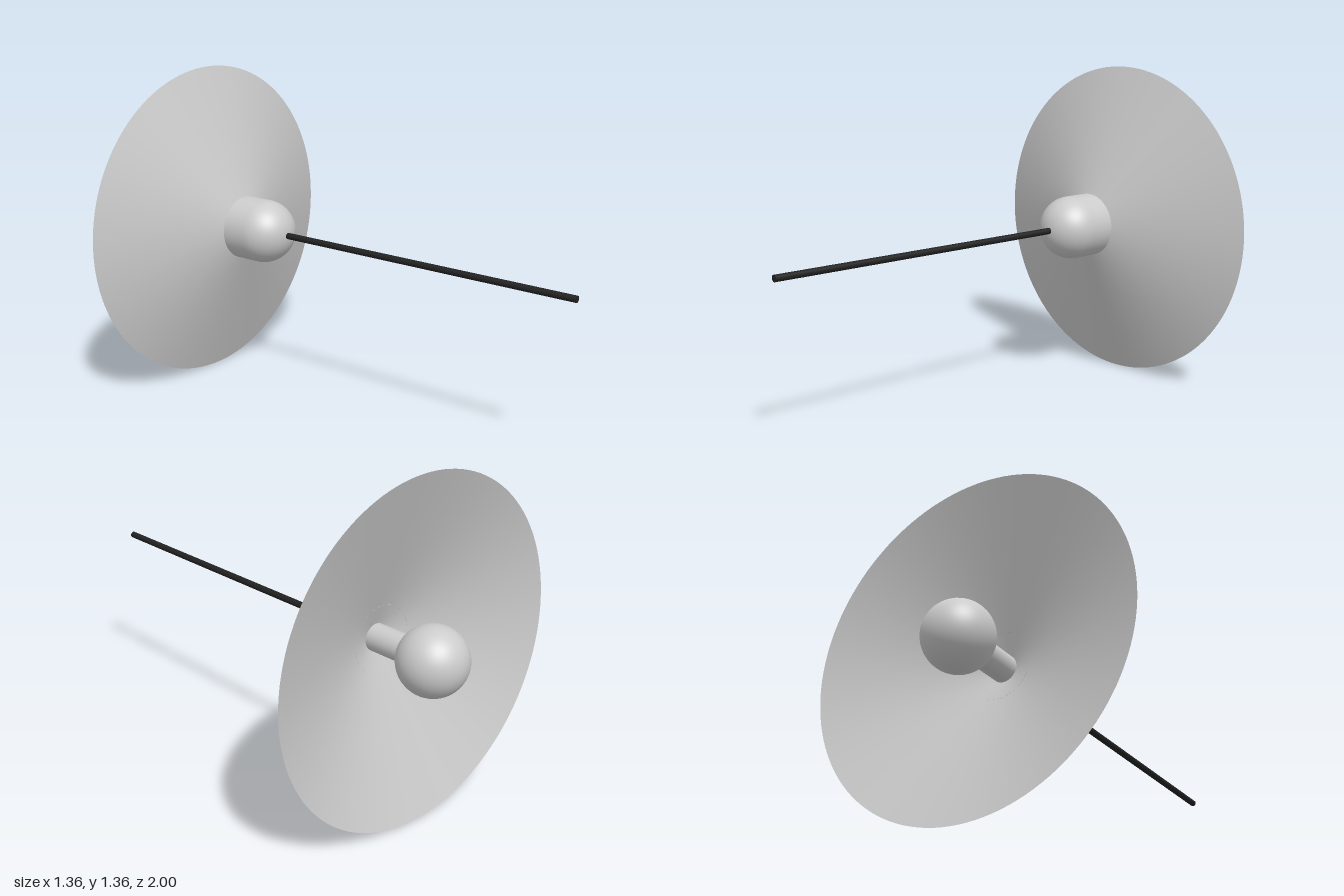
import * as THREE from 'three';

const AXIS_Y = 0.683; // height of the lamp's horizontal axis
const grey = new THREE.MeshStandardMaterial({ color: 0xcccccc, side: THREE.DoubleSide });
const black = new THREE.MeshStandardMaterial({ color: 0x222222 });

export function createModel() {
  const lamp = new THREE.Group();
  lamp.name = 'pendantLamp';

  const add = (name, geometry, material = grey) => {
    const mesh = new THREE.Mesh(geometry, material);
    mesh.name = name;
    mesh.position.y = AXIS_Y;
    lamp.add(mesh);
  };

  // cylinder or cone along z, from zBack to zFront
  const along = (rFront, rBack, zFront, zBack, open = false, sides = 96) =>
    new THREE.CylinderGeometry(rFront, rBack, zFront - zBack, sides, 1, open)
      .rotateX(Math.PI / 2)
      .translate(0, 0, (zFront + zBack) / 2);

  // hanging cord
  add('cord', along(0.0135, 0.0135, 1, -0.4, false, 24), black);

  // lamp holder: straight sleeve with a domed end
  const profile = [new THREE.Vector2(0.135, -0.612)];
  const steps = 24;
  for (let i = 0; i <= steps; i++) {
    const a = (i / steps) * Math.PI / 2;
    profile.push(new THREE.Vector2(0.135 * Math.cos(a), -0.5 + 0.135 * Math.sin(a)));
  }
  add('holder', new THREE.LatheGeometry(profile, 64).rotateX(Math.PI / 2));

  // thin conical shade, open at the back
  add('shade', along(0, 0.681, -0.562, -0.812, true, 128));

  // bulb neck and globe
  add('bulbNeck', along(0.054, 0.054, -0.57, -0.8, false, 32));
  add('bulb', new THREE.SphereGeometry(0.135, 48, 32).rotateX(Math.PI / 2).translate(0, 0, -0.865));

  return lamp;
}
